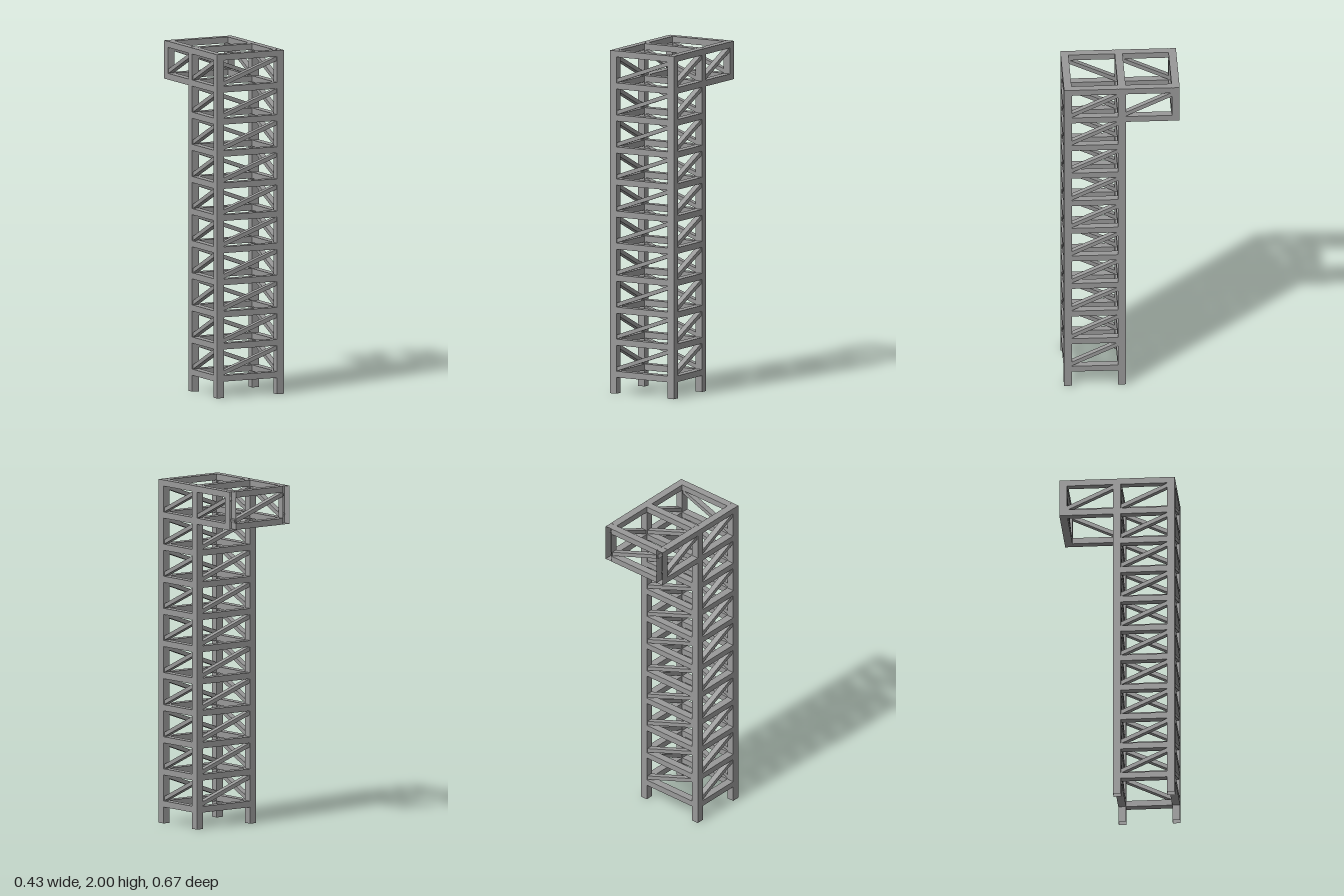
import * as THREE from 'three';

const BEAM = 0.045;        // post and rail width
const RAIL_H = 0.036;      // rail height
const BRACE_H = 0.023;     // diagonal bar thickness
const BRACE_DEPTH = 0.034; // diagonal bar depth through the face
const X = 0.194;           // post centre line in x
const Z_FRONT = 0.311, Z_MID = -0.001, Z_BACK = -0.311;
const BAYS = 10, Y0 = 0.1135, PITCH = 0.1869;
const BOTTOM = 3, REAR = 5; // side numbers of a box

export function createModel() {
  const model = new THREE.Group();
  const material = new THREE.MeshStandardMaterial({ color: 0x999999, flatShading: true, side: THREE.DoubleSide });

  function group(name) {
    const g = new THREE.Group();
    g.name = name;
    model.add(g);
    return g;
  }

  const rungY = (i) => Y0 + i * PITCH;
  const V = (x, y, z) => new THREE.Vector3(x, y, z);

  // box bar laid along the line from a to b
  function bar(parent, name, a, b, width, height, extend) {
    const mesh = new THREE.Mesh(new THREE.BoxGeometry(width, height, a.distanceTo(b) + extend * 2), material);
    mesh.name = name;
    mesh.position.copy(a).add(b).multiplyScalar(0.5);
    mesh.lookAt(b);
    parent.add(mesh);
  }

  // horizontal rail between two post centres
  function rail(parent, p, q, i) {
    const y = rungY(i);
    bar(parent, 'rail', V(p[0], y, p[1]), V(q[0], y, q[1]), BEAM, RAIL_H, -BEAM / 2);
  }

  // single diagonal in one bay, rising from post p to post q
  function diagonal(parent, p, q, i) {
    const along = V(q[0] - p[0], 0, q[1] - p[1]).setLength(BEAM / 2);
    const lo = rungY(i) + RAIL_H / 2 + 0.013, hi = rungY(i + 1) - RAIL_H / 2 - 0.013;
    const a = V(p[0], lo, p[1]).add(along), b = V(q[0], hi, q[1]).sub(along);
    bar(parent, 'diagonalBrace', a, b, BRACE_DEPTH, BRACE_H, 0.008);
  }

  // hollow post with one side of the box left open
  function post(parent, x, z, bottom, openSide) {
    const geometry = new THREE.BoxGeometry(BEAM, 2 - bottom, BEAM);
    geometry.setIndex([...geometry.index.array].filter((_, k) => Math.floor(k / 6) !== openSide));
    geometry.clearGroups();
    const mesh = new THREE.Mesh(geometry, material);
    mesh.name = 'post';
    mesh.position.set(x, (2 + bottom) / 2, z);
    parent.add(mesh);
  }

  // posts: four full-height legs and two short ones on the overhang
  const posts = group('posts');
  for (const x of [-X, X]) {
    post(posts, x, Z_FRONT, 0, BOTTOM);
    post(posts, x, Z_MID, 0, BOTTOM);
    post(posts, x, Z_BACK, rungY(BAYS - 1) - RAIL_H / 2, REAR);
  }

  // tower: four faces, each diagonal rising to the right as seen from outside
  const towerFaces = [
    [[-X, Z_FRONT], [X, Z_FRONT]],
    [[X, Z_FRONT], [X, Z_MID]],
    [[X, Z_MID], [-X, Z_MID]],
    [[-X, Z_MID], [-X, Z_FRONT]],
  ];
  const rails = group('towerRails'), braces = group('towerBraces');
  for (const [p, q] of towerFaces) {
    for (let i = 0; i <= BAYS; i++) rail(rails, p, q, i);
    for (let i = 0; i < BAYS; i++) diagonal(braces, p, q, i);
  }

  // overhanging bay at the top rear
  const overhang = group('overhang');
  const overhangFaces = [
    [[X, Z_MID], [X, Z_BACK]],
    [[X, Z_BACK], [-X, Z_BACK]],
    [[-X, Z_BACK], [-X, Z_MID]],
  ];
  for (const [p, q] of overhangFaces) {
    rail(overhang, p, q, BAYS - 1);
    rail(overhang, p, q, BAYS);
    diagonal(overhang, p, q, BAYS - 1);
  }

  return model;
}
